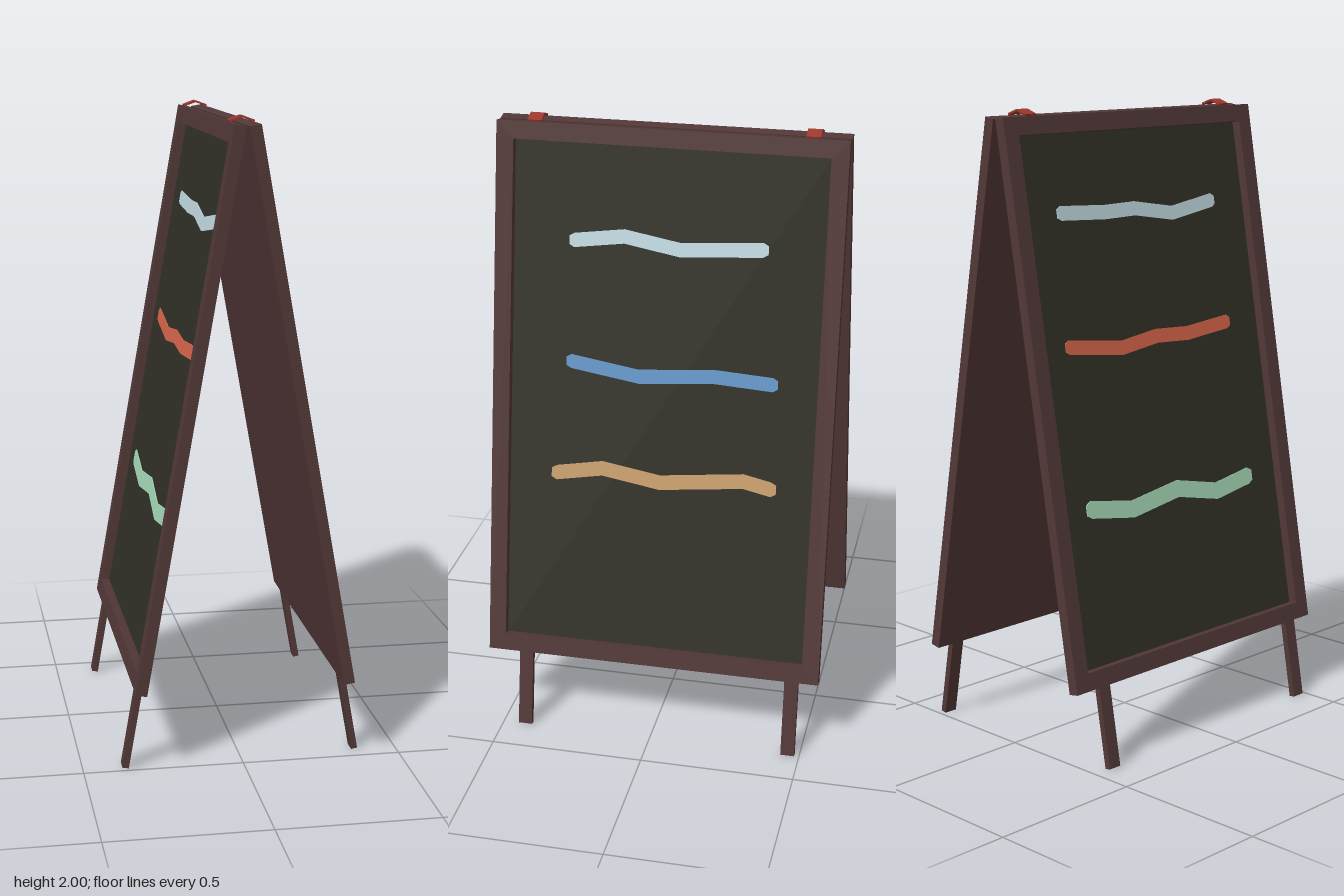
import * as THREE from 'three';

const TILT = THREE.MathUtils.degToRad(10);
const W = 1.1, L = 1.745, T = 0.035, RAIL = 0.055;
const CENTER = { x: 0.1735, y: 1.1175 };

const paint = (name, color) => {
  const m = new THREE.MeshStandardMaterial({ color });
  m.name = name;
  return m;
};

function box(name, size, pos, material) {
  const mesh = new THREE.Mesh(new THREE.BoxGeometry(...size), material);
  mesh.name = name;
  mesh.position.set(...pos);
  return mesh;
}

// Rectangular frame with an open middle
function frameGeometry() {
  const rect = (path, w, h) => path.moveTo(-w, -h).lineTo(w, -h).lineTo(w, h).lineTo(-w, h).closePath();
  const shape = rect(new THREE.Shape(), W / 2, L / 2);
  shape.holes.push(rect(new THREE.Path(), W / 2 - RAIL, L / 2 - RAIL));
  return new THREE.ExtrudeGeometry(shape, { depth: T - 0.002, bevelEnabled: false });
}

// Wavy chalk line: a thin ribbon along points [across, height], with clipped ends
function chalkGeometry(points, width) {
  const p = points.map(([x, y]) => new THREE.Vector2(x, (y - CENTER.y) / Math.cos(TILT)));
  const h = width / 2, n = p.length - 1;
  const upper = p.map((q) => new THREE.Vector2(q.x, q.y + h));
  const lower = p.map((q) => new THREE.Vector2(q.x, q.y - h)).reverse();
  const cap = (q, dir) => [0.6, -0.6].map((k) => new THREE.Vector2(q.x + dir * h * 0.7, q.y + dir * k * h));
  const outline = [...upper, ...cap(p[n], 1), ...lower, ...cap(p[0], -1)];
  return new THREE.ExtrudeGeometry(new THREE.Shape(outline), { depth: 0.003, bevelEnabled: false });
}

export function createModel() {
  const wood = paint('dark wood', 0x523737);
  const slate = paint('blackboard', 0x302f26);
  const red = paint('hinge red', 0x9c372d);
  const chalk = {
    white: paint('white chalk', 0xc0d8e0),
    blue: paint('blue chalk', 0x6596c8),
    tan: paint('tan chalk', 0xc89e6d),
    coral: paint('coral chalk', 0xd6654a),
    green: paint('green chalk', 0xa4d8b6),
  };

  const lines = [
    [
      ['white', 0.045, [[-0.3, 1.62], [-0.14, 1.642], [0.04, 1.612], [0.3, 1.63]]],
      ['blue', 0.045, [[-0.3, 1.237], [-0.08, 1.205], [0.16, 1.225], [0.35, 1.215]]],
      ['tan', 0.048, [[-0.34, 0.87], [-0.19, 0.897], [0, 0.868], [0.27, 0.898], [0.36, 0.88]]],
    ],
    [
      ['white', 0.045, [[-0.34, 1.685], [-0.15, 1.675], [-0.02, 1.677], [0.15, 1.65], [0.34, 1.677]]],
      ['coral', 0.045, [[-0.375, 1.283], [-0.15, 1.255], [0.01, 1.273], [0.154, 1.265], [0.345, 1.28]]],
      ['green', 0.055, [[-0.37, 0.787], [-0.19, 0.757], [0.02, 0.784], [0.2, 0.745], [0.36, 0.767]]],
    ],
  ];

  const model = new THREE.Group();
  model.name = 'aFrameChalkboard';

  // Two identical leaning halves, turned half a circle from each other
  lines.forEach((strokes, i) => {
    const half = new THREE.Group();
    half.name = i ? 'rightHalf' : 'leftHalf';
    half.rotation.y = i * Math.PI;

    const panel = new THREE.Group();
    panel.name = 'panel';
    panel.position.set(CENTER.x, CENTER.y, 0);
    panel.rotation.set(0, Math.PI / 2, TILT, 'ZYX');
    half.add(panel);

    const frame = new THREE.Mesh(frameGeometry(), wood);
    frame.name = 'frame';
    frame.position.z = -T / 2 + 0.002;
    panel.add(frame);
    panel.add(box('backing', [W, L, 0.002], [0, 0, -T / 2 + 0.001], wood));
    panel.add(box('board', [W - 2 * RAIL, L - 2 * RAIL, 0.003], [0, 0, -0.014], slate));

    for (const [color, width, points] of strokes) {
      const line = new THREE.Mesh(chalkGeometry(points, width), chalk[color]);
      line.name = color + 'ChalkLine';
      line.position.z = -0.0125;
      panel.add(line);
    }

    // Legs below the frame
    for (const x of [-0.425, 0.462]) {
      panel.add(box('leg', [0.045, 0.28, 0.02], [x, -0.9925, -0.002], wood));
    }
    model.add(half);
  });

  // Hinges: pairs of plates meeting in a low ridge
  for (const z of [-0.438, 0.428]) {
    for (const side of [-1, 1]) {
      const plate = box('hingePlate', [0.04, 0.006, 0.045], [side * 0.0185, 1.9902, z], red);
      plate.rotation.z = -side * 0.35;
      model.add(plate);
    }
  }
  return model;
}
